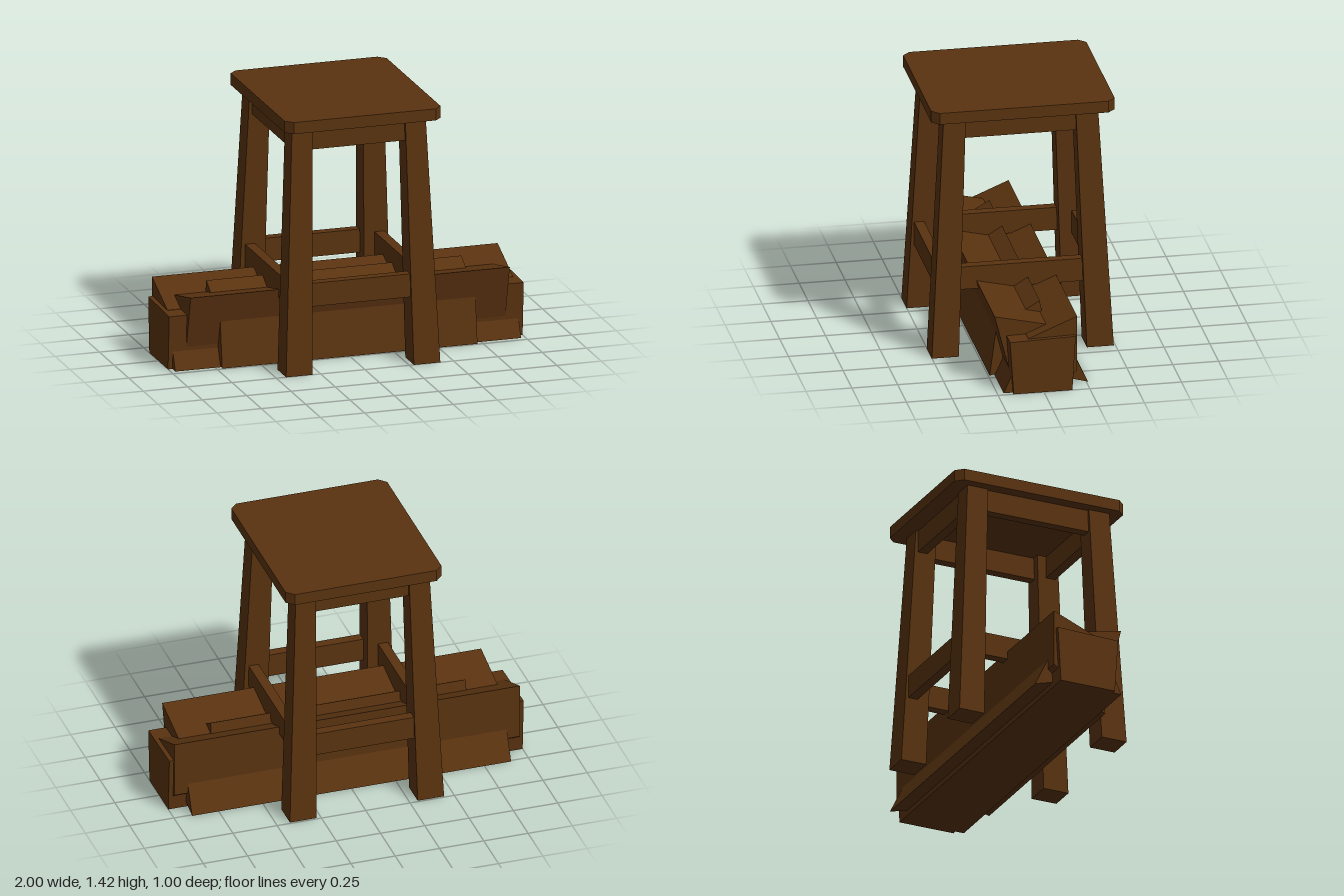
import * as THREE from 'three';

export function createModel() {
  const model = new THREE.Group();
  model.name = 'stoolWithTimbers';
  const wood = new THREE.MeshStandardMaterial({ color: 0x5a3310 });
  wood.name = 'darkWood';

  const add = (name, geometry, parent = model) => {
    const mesh = new THREE.Mesh(geometry, wood);
    mesh.name = name;
    parent.add(mesh);
    return mesh;
  };
  const outline = (points) => new THREE.Shape(points.map(([a, b]) => new THREE.Vector2(a, b)));

  const stool = new THREE.Group();
  stool.name = 'stool';
  model.add(stool);

  // Seat slab with clipped corners
  const w = 0.44, d = 0.5, c = 0.04;
  const seat = new THREE.ExtrudeGeometry(outline([
    [-w + c, -d], [w - c, -d], [w, -d + c], [w, d - c],
    [w - c, d], [-w + c, d], [-w, d - c], [-w, -d + c],
  ]), { depth: 0.065, bevelEnabled: false });
  seat.rotateX(-Math.PI / 2).translate(0, 1.358, 0);
  add('seat', seat, stool);

  // Frame sits a little off the seat's centre
  const frame = new THREE.Group();
  frame.name = 'frame';
  frame.position.set(-0.01, 0, 0.005);
  stool.add(frame);

  // Splayed legs that narrow toward the top
  const legHeight = 1.36;
  const legGeometry = (sx, sz) => {
    const g = new THREE.BoxGeometry(1, legHeight, 1).translate(0, legHeight / 2, 0);
    const p = g.attributes.position;
    for (let i = 0; i < p.count; i++) {
      const top = p.getY(i) > 0.5;
      const outerX = p.getX(i) * sx > 0, outerZ = p.getZ(i) * sz > 0;
      const x = top ? (outerX ? 0.377 : 0.262) : (outerX ? 0.435 : 0.286);
      const z = top ? (outerZ ? 0.421 : 0.3) : (outerZ ? 0.496 : 0.349);
      p.setX(i, sx * x);
      p.setZ(i, sz * z);
    }
    g.computeVertexNormals();
    return g;
  };
  for (const [sx, xName] of [[1, 'left'], [-1, 'right']])
    for (const [sz, zName] of [[1, 'Front'], [-1, 'Back']])
      add(`${xName}${zName}Leg`, legGeometry(sx, sz), frame);

  // Aprons under the seat and stretchers between the legs
  const rails = [
    { name: 'Apron', y: 1.297, h: 0.125, x: 0.335, z: 0.38, halfX: 0.3, halfZ: 0.34 },
    { name: 'Stretcher', y: 0.435, h: 0.13, x: 0.365, z: 0.43, halfX: 0.31, halfZ: 0.36 },
  ];
  for (const r of rails)
    for (const s of [1, -1]) {
      add(`${s > 0 ? 'front' : 'back'}${r.name}`,
        new THREE.BoxGeometry(2 * r.halfX, r.h, 0.055).translate(0, r.y, s * r.z), frame);
      add(`${s > 0 ? 'left' : 'right'}${r.name}`,
        new THREE.BoxGeometry(0.055, r.h, 2 * r.halfZ).translate(s * r.x, r.y, 0), frame);
    }

  // Rough timbers lying across the base; each section is given as [z, y]
  const pile = new THREE.Group();
  pile.name = 'timberPile';
  model.add(pile);
  const timbers = [
    ['coreTimber', 2.0, [[0.165, 0], [0.185, 0.3], [-0.173, 0.31], [-0.155, 0]]],
    ['backLeaningTimber', 1.95, [[0.215, 0], [0.08, 0.305], [-0.185, 0.415], [-0.185, 0.1], [-0.045, 0]]],
    ['frontLeaningTimber', 1.8, [[0.175, 0.12], [0.25, 0.415], [-0.1, 0.335], [-0.26, 0]]],
    ['shortTimber', 1.44, [[0.243, 0], [0.207, 0.27], [-0.03, 0.415], [-0.09, 0.1]]],
  ];
  for (const [name, length, section] of timbers) {
    const g = new THREE.ExtrudeGeometry(outline(section), { depth: length, bevelEnabled: false });
    g.rotateY(-Math.PI / 2).translate(length / 2, 0, 0);
    add(name, g, pile);
  }
  return model;
}
